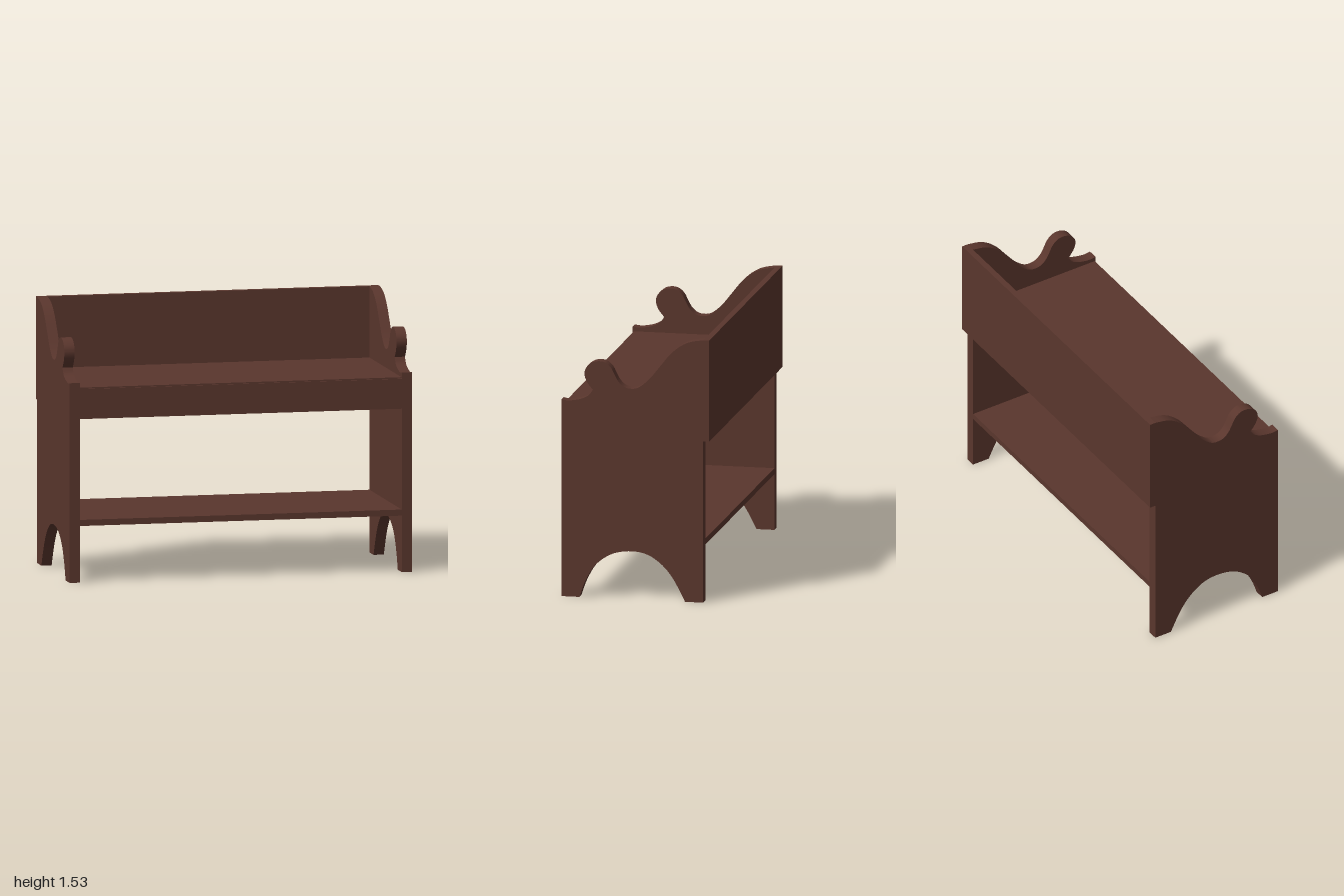
import * as THREE from 'three';
import { toCreasedNormals } from 'three/addons/utils/BufferGeometryUtils.js';

const wood = new THREE.MeshStandardMaterial({ color: 0x5a362d });
wood.name = 'dark brown wood';

const FRONT = 0.43, BACK = -0.395, REAR = -0.43; // z of front edge, panel back, board back
const INNER = 0.94, THICK = 0.06, BOARD = 0.035;

// A board given by its lower and upper corners
function board(name, x0, x1, y0, y1, z0, z1) {
  const mesh = new THREE.Mesh(new THREE.BoxGeometry(x1 - x0, y1 - y0, z1 - z0), wood);
  mesh.position.set((x0 + x1) / 2, (y0 + y1) / 2, (z0 + z1) / 2);
  mesh.name = name;
  return mesh;
}

const points = (list) => list.map(([z, y]) => new THREE.Vector2(z, y));

// Scrolled end panel, drawn as (z, y) and extruded sideways
function endPanelGeometry() {
  const s = new THREE.Shape();
  s.moveTo(FRONT, 0);
  s.lineTo(FRONT, 1.148);
  // lip at the front of the armrest
  s.splineThru(points([[0.4, 1.143], [0.36, 1.146], [0.31, 1.158], [0.27, 1.18], [0.247, 1.212]]));
  // round knob, dip and sweep up to the back board
  s.splineThru(points([
    [0.28, 1.255], [0.295, 1.3], [0.285, 1.34], [0.25, 1.371], [0.207, 1.38], [0.17, 1.371],
    [0.14, 1.343], [0.12, 1.305], [0.097, 1.265], [0.065, 1.237], [0.025, 1.228], [-0.02, 1.238],
    [-0.08, 1.287], [-0.14, 1.36], [-0.2, 1.435], [-0.26, 1.487], [-0.32, 1.516], [BACK, 1.53],
  ]));
  s.lineTo(BACK, 0);
  s.lineTo(-0.29, 0);
  // arch between the feet
  s.splineThru(points([
    [-0.23, 0.115], [-0.17, 0.195], [-0.1, 0.25], [-0.04, 0.274], [0.02, 0.28], [0.08, 0.275],
    [0.14, 0.257], [0.2, 0.22], [0.25, 0.168], [0.295, 0.085], [0.325, 0],
  ]));
  s.closePath();
  const geo = new THREE.ExtrudeGeometry(s, { depth: THICK, bevelEnabled: false, curveSegments: 5 });
  geo.rotateY(-Math.PI / 2);
  geo.translate(THICK / 2, 0, 0);
  return toCreasedNormals(geo, 0.6);
}

export function createModel() {
  const bench = new THREE.Group();
  bench.name = 'bench';

  const panelGeo = endPanelGeometry();
  for (const side of [1, -1]) {
    const panel = new THREE.Mesh(panelGeo, wood);
    panel.position.x = side * (INNER + THICK / 2);
    panel.name = side > 0 ? 'leftEndPanel' : 'rightEndPanel';
    bench.add(panel);
  }

  bench.add(
    board('backBoard', -1, 1, 0.94, 1.53, REAR, BACK),
    board('seat', -INNER, INNER, 1.12 - BOARD, 1.12, BACK, FRONT - 0.008),
    board('frontApron', -INNER, INNER, 0.94, 1.112, FRONT - BOARD, FRONT),
    board('lowerShelf', -INNER, INNER, 0.325, 0.36, BACK, FRONT - 0.003),
  );
  return bench;
}
